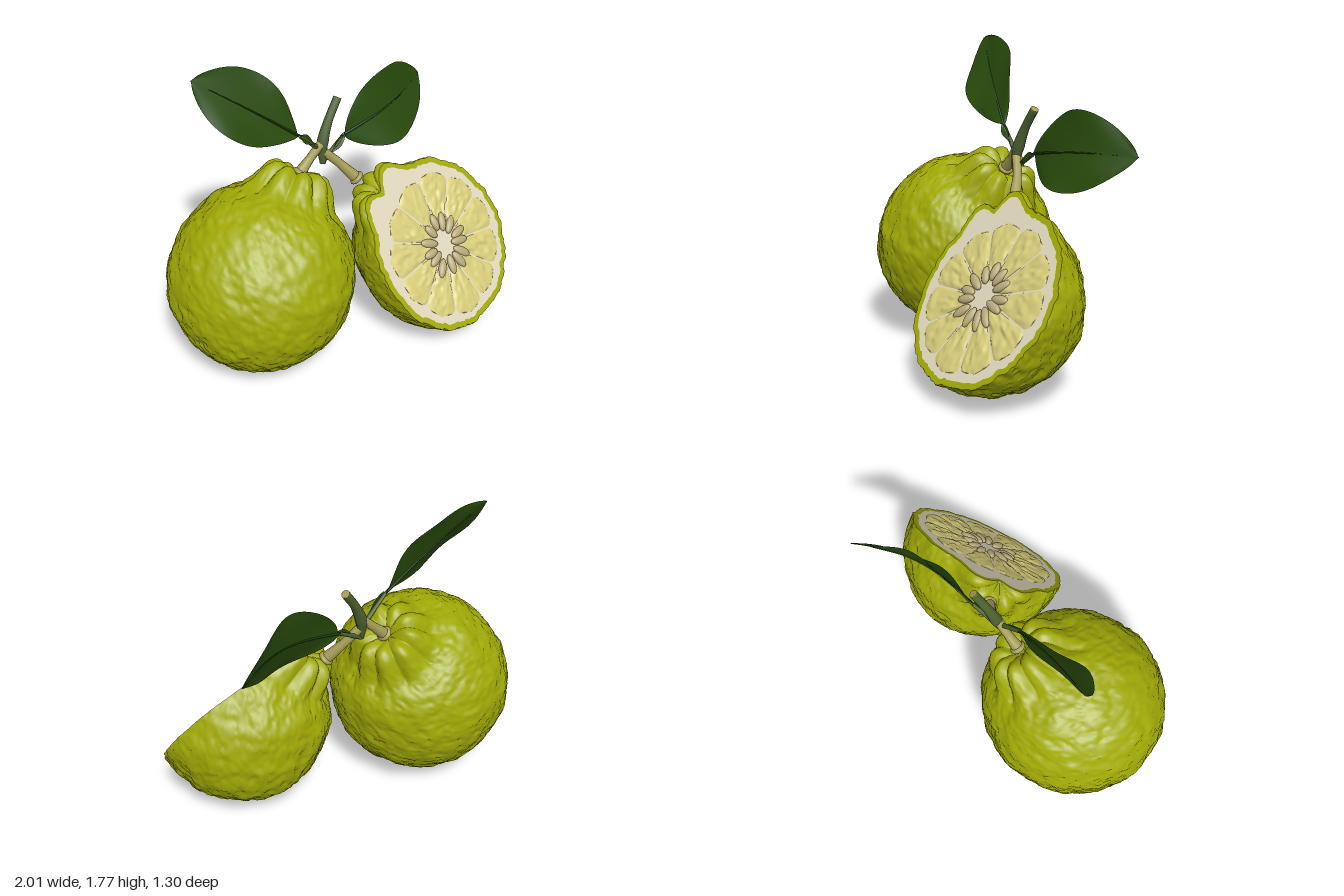
import * as THREE from 'three';
import { mergeVertices } from 'three/addons/utils/BufferGeometryUtils.js';

const V = (x, y, z) => new THREE.Vector3(x, y, z);
const mat = (name, color, side = THREE.FrontSide) => {
  const m = new THREE.MeshStandardMaterial({ color, side });
  m.name = name;
  return m;
};

// Seeded value noise, about -1..1
const hash = (x, y, z) => {
  const s = Math.sin(x * 127.1 + y * 311.7 + z * 74.7) * 43758.5453;
  return (s - Math.floor(s)) * 2 - 1;
};
function noise(x, y, z) {
  const c = [x, y, z].map(Math.floor);
  const f = [x - c[0], y - c[1], z - c[2]].map((t) => t * t * (3 - 2 * t));
  let sum = 0;
  for (let i = 0; i < 8; i++) {
    const b = [i & 1, (i >> 1) & 1, i >> 2];
    const w = b.reduce((p, k, a) => p * (k ? f[a] : 1 - f[a]), 1);
    sum += w * hash(c[0] + b[0], c[1] + b[1], c[2] + b[2]);
  }
  return sum;
}

// Grid surface: fn(u, v) returns a point; the front is du x dv
function surface(nu, nv, fn) {
  const pos = [], idx = [];
  for (let j = 0; j <= nv; j++) {
    for (let i = 0; i <= nu; i++) pos.push(...fn(i / nu, j / nv).toArray());
  }
  for (let j = 0; j < nv; j++) {
    for (let i = 0; i < nu; i++) {
      const a = j * (nu + 1) + i, d = a + nu + 1;
      idx.push(a, a + 1, d + 1, a, d + 1, d);
    }
  }
  const g = new THREE.BufferGeometry();
  g.setAttribute('position', new THREE.Float32BufferAttribute(pos, 3));
  g.setIndex(idx);
  g.computeVertexNormals();
  return g;
}

// Skin point in a direction: round body with shoulders, lobed neck with a dimple, warty peel
function skinPoint(d, { R, neck, seed, depth }) {
  const theta = Math.acos(THREE.MathUtils.clamp(d.y, -1, 1));
  const phi = Math.atan2(d.z, d.x);
  const lobes = Math.abs(Math.cos(4.5 * phi + seed)) - 0.6;
  let r = R + neck * Math.exp(-((theta / 0.38) ** 4));
  r += 0.02 * Math.exp(-(((theta - 0.7) / 0.3) ** 2));
  r += 0.05 * lobes * Math.exp(-(((theta - 0.34) / 0.18) ** 2));
  r -= 0.08 * Math.exp(-((theta / 0.13) ** 2));
  const n = (k) => noise(d.x * k + seed, d.y * k + 5, d.z * k + 9);
  r += 0.006 * n(4) + 0.008 * n(9) + 0.008 * (0.5 - Math.abs(n(17)) * 1.6);
  const p = d.clone().multiplyScalar(r);
  p.z *= depth;
  return p;
}

function skinGeometry(fruit, phiStart, phiLength, nu, nv) {
  let g = new THREE.SphereGeometry(1, nu, nv, phiStart, phiLength);
  g.deleteAttribute('uv');
  g.deleteAttribute('normal');
  g = mergeVertices(g, 1e-5);
  const p = g.attributes.position;
  for (let i = 0; i < p.count; i++) {
    const d = V().fromBufferAttribute(p, i).normalize();
    p.setXYZ(i, ...skinPoint(d, fruit).toArray());
  }
  g.computeVertexNormals();
  return g;
}

// Tube along a curve, tapering through the given radii
function taperedTube(points, radii, sides = 12) {
  const curve = new THREE.CatmullRomCurve3(points), n = 20;
  const g = new THREE.TubeGeometry(curve, n, 1, sides);
  const p = g.attributes.position;
  for (let i = 0; i < p.count; i++) {
    const t = Math.floor(i / (sides + 1)) / n;
    const k = Math.min(Math.floor(t * (radii.length - 1)), radii.length - 2);
    const r = THREE.MathUtils.lerp(radii[k], radii[k + 1], t * (radii.length - 1) - k);
    const c = curve.getPointAt(t);
    p.setXYZ(i, ...V().fromBufferAttribute(p, i).sub(c).multiplyScalar(r).add(c).toArray());
  }
  g.computeVertexNormals();
  return g;
}

export function createModel() {
  const model = new THREE.Group();
  const skin = mat('green peel', 0xa0a906), pith = mat('cream pith', 0xe0d8bd);
  const flesh = mat('yellow flesh', 0xd7cc7a), seedMat = mat('tan seed', 0xb9aa7c);
  const leafMat = mat('leaf green', 0x284a0b, THREE.DoubleSide);
  const vein = mat('dark vein', 0x1e3c0c);
  const twigMat = mat('twig green', 0x4c6030), stalkMat = mat('stalk olive', 0xa59c55);
  const add = (name, g, m, parent = model) => {
    const mesh = new THREE.Mesh(g, m);
    mesh.name = name;
    parent.add(mesh);
    return mesh;
  };

  // Whole fruit, leaning towards the twig
  const wholeShape = { R: 0.525, neck: 0.15, seed: 3, depth: 1 };
  const whole = add('wholeFruit', skinGeometry(wholeShape, 0, Math.PI * 2, 180, 120), skin);
  whole.position.set(-0.475, 0.535, -0.125);
  whole.quaternion.setFromUnitVectors(V(0, 1, 0), V(0.37, 0.55, -0.07).normalize());

  // Half fruit: local y is the fruit axis, local z faces out of the cut
  const half = new THREE.Group();
  half.name = 'halfFruit';
  model.add(half);
  const n = V(0.06, 0.58, 0.81).normalize();
  const v = V(-0.33, 0.43, -0.3).projectOnPlane(n).normalize();
  half.quaternion.setFromRotationMatrix(new THREE.Matrix4().makeBasis(V().crossVectors(v, n), v, n));
  half.position.set(0.507, 0.535, 0.357);
  const halfShape = { R: 0.497, neck: 0.13, seed: 7, depth: 1.1 };
  add('halfPeel', skinGeometry(halfShape, Math.PI, Math.PI, 100, 110), skin, half);

  // Cut rim and pith share the peel outline
  const rim = (u, inset) => {
    const a = u * Math.PI * 2;
    const p = skinPoint(V(Math.sin(a), Math.cos(a), 0), halfShape);
    return p.setLength(p.length() - inset);
  };
  add('cutRind', surface(220, 1, (u, t) => rim(u, 0.034 * (1 - t))), skin, half);
  add('cutPith', surface(220, 1, (u, t) => rim(u, 0.034).multiplyScalar(t)), pith, half);

  // Flesh segments with lumpy juice sacs
  const count = 11, slope = Math.tan(Math.PI / count);
  for (let k = 0; k < count; k++) {
    const outer = 0.428 + 0.012 * hash(k, 2, 3);
    const g = surface(20, 36, (u, s) => {
      const t = u * 2 - 1, r = 0.085 + (outer - 0.085) * s;
      const round = Math.sqrt(Math.max(0, 1 - Math.max(0, (s - 0.75) / 0.25) ** 3));
      const w = Math.max(0.003, r * slope - 0.007) * round;
      const lump = noise(t * w * 45 + k * 7, r * 26, k) * 0.007;
      const h = (1 - t ** 6) * (1 - s ** 12) * Math.min(1, s * 8);
      return V(t * w, r - 0.012 * t * t * s, 0.0015 + h * (0.009 + lump));
    });
    add('fleshSegment', g, flesh, half).rotation.z = ((k + 0.5) / count) * Math.PI * 2;
  }

  // Ring of seeds around the core
  const seedGeo = new THREE.SphereGeometry(1, 14, 10);
  for (let k = 0; k < 13; k++) {
    const a = (k / 13) * Math.PI * 2 + 0.1 * hash(k, 1, 1);
    const r = 0.13 + 0.018 * hash(k, 4, 1);
    const s = add('seed', seedGeo, seedMat, half);
    s.position.set(Math.sin(a) * r, Math.cos(a) * r, 0.01);
    s.rotation.z = -a;
    s.scale.set(0.026, 0.056 + 0.008 * hash(k, 7, 2), 0.019);
  }

  // Twig with a pale cut end
  const twigTop = V(0.16, 1.42, -0.19);
  add('twig', taperedTube([V(0.02, 1.07, -0.155), V(0.03, 1.18, -0.17), V(0.08, 1.3, -0.18), twigTop],
    [0.018, 0.034, 0.025, 0.024]), twigMat);
  const cut = add('twigCut', new THREE.CylinderGeometry(0.024, 0.024, 0.006, 12), stalkMat);
  cut.position.copy(twigTop);
  cut.quaternion.setFromUnitVectors(V(0, 1, 0), V(0.08, 0.12, -0.01).normalize());

  // Fruit stalks ending in small caps
  const stalks = [
    [V(0.02, 1.19, -0.17), V(-0.04, 1.13, -0.18), V(-0.12, 1.05, -0.19)],
    [V(0.03, 1.14, -0.16), V(0.1, 1.06, -0.12), V(0.18, 0.95, -0.05)],
  ];
  for (const pts of stalks) {
    add('fruitStalk', taperedTube(pts, [0.026, 0.025, 0.034]), stalkMat);
    const dir = pts[2].clone().sub(pts[1]).normalize();
    const cap = add('stalkCap', new THREE.SphereGeometry(0.045, 14, 10), stalkMat);
    cap.position.copy(pts[2]);
    cap.scale.y = 0.5;
    cap.quaternion.setFromUnitVectors(V(0, 1, 0), dir);
  }

  // Leaves: blade folded at the midrib, arched along its length
  function leaf(side, start, base, tip, normal, width, arch, skew) {
    const group = new THREE.Group();
    group.name = side + 'Leaf';
    model.add(group);
    const along = tip.clone().sub(base);
    const across = V().crossVectors(normal, along).normalize();
    const up = V().crossVectors(along, across).normalize();
    const at = (s, t) => {
      const w = width * Math.sin(Math.PI * s ** skew) ** 0.72;
      const wave = 0.01 * Math.sin(s * 11 + t * 2) * t * t;
      const h = arch * Math.sin(Math.PI * s) + 0.025 * Math.abs(t) * Math.sin(Math.PI * s) + wave;
      return base.clone().addScaledVector(along, s).addScaledVector(across, t * w)
        .addScaledVector(up, h);
    };
    add('blade', surface(36, 18, (s, t) => at(Math.min(s, 0.9999), t * 2 - 1)), leafMat, group);
    const ribPts = [0, 0.2, 0.4, 0.6, 0.85].map((s) => at(s, 0));
    add('midrib', taperedTube(ribPts, [0.009, 0.005, 0.002], 6), vein, group);
    // Winged leaf stalk
    const mid = start.clone().lerp(base, 0.5);
    add('leafStalk', taperedTube([start, mid, base], [0.015, 0.012, 0.01], 8), twigMat, group);
    const wing = (s, t) => start.clone().lerp(base, 0.25 + 0.75 * s)
      .addScaledVector(across, t * 0.026 * Math.sin(Math.PI * s ** 1.4))
      .addScaledVector(up, 0.008 + 0.008 * Math.abs(t));
    add('stalkWing', surface(10, 4, (s, t) => wing(s, t * 2 - 1)), leafMat, group);
  }
  leaf('right', V(0.0, 1.17, -0.17), V(-0.13, 1.3, -0.18), V(-0.655, 1.75, -0.385),
    V(0, 0.5, 1).normalize(), 0.195, 0.015, 1.12);
  leaf('left', V(0.03, 1.08, -0.16), V(0.19, 1.18, -0.17), V(0.91, 1.26, -0.3),
    V(0.1, 0.35, 1).normalize(), 0.222, 0.075, 0.95);

  return model;
}
